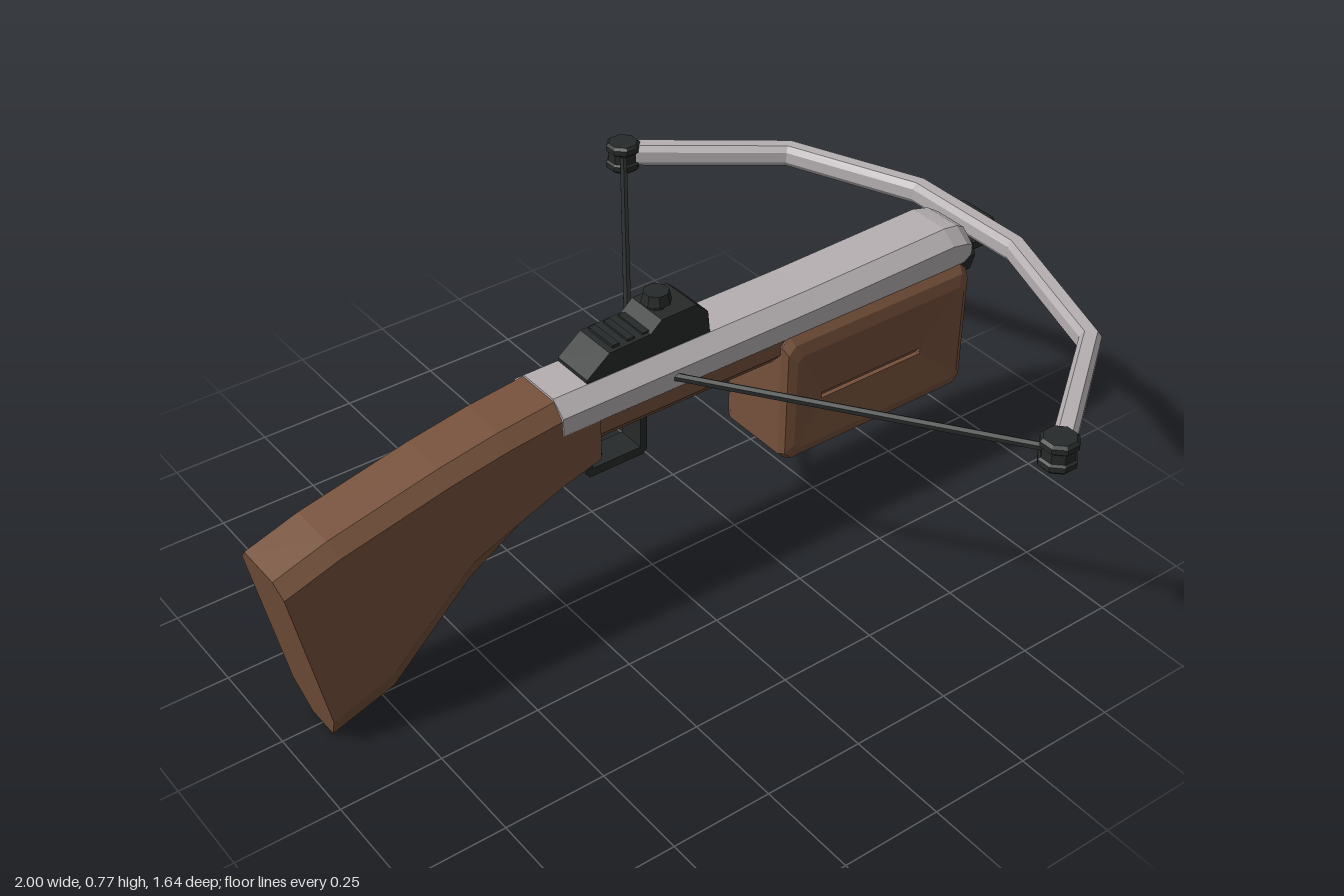
import * as THREE from 'three';

const wood = new THREE.MeshStandardMaterial({ color: 0x75503a });
wood.name = 'walnutBrown';
const steel = new THREE.MeshStandardMaterial({ color: 0xb5afb1 });
steel.name = 'lightSteel';
const black = new THREE.MeshStandardMaterial({ color: 0x272a2a });
black.name = 'blackMetal';
for (const m of [wood, steel, black]) m.flatShading = true;

// Faceted solid through closed rings of points, capped at both ends
function loft(rings) {
  const tris = [];
  const n = rings[0].length;
  for (let i = 0; i < rings.length - 1; i++) {
    for (let j = 0; j < n; j++) {
      const k = (j + 1) % n;
      const [a, b, c, d] = [rings[i][j], rings[i][k], rings[i + 1][k], rings[i + 1][j]];
      tris.push([a, b, c], [a, c, d]);
    }
  }
  const first = rings[0], last = rings[rings.length - 1];
  for (let j = 1; j < n - 1; j++) {
    tris.push([first[0], first[j + 1], first[j]], [last[0], last[j], last[j + 1]]);
  }
  // make the faces point outwards
  let volume = 0;
  for (const [a, b, c] of tris) volume += a.dot(b.clone().cross(c));
  const pos = [];
  for (const [a, b, c] of tris) {
    for (const p of volume > 0 ? [a, b, c] : [a, c, b]) pos.push(p.x, p.y, p.z);
  }
  const g = new THREE.BufferGeometry();
  g.setAttribute('position', new THREE.Float32BufferAttribute(pos, 3));
  g.computeVertexNormals();
  return g;
}

// Eight-sided section between a top and a bottom point, chamfered at both
function section(tx, ty, bx, by, w, topW, topC, botW, botC) {
  const top = new THREE.Vector3(tx, ty, 0), bot = new THREE.Vector3(bx, by, 0);
  const len = top.distanceTo(bot);
  const half = [[topW, 0], [w, topC], [w, len - botC], [botW, len]];
  const at = (z, d) => top.clone().lerp(bot, d / len).setZ(z);
  return [...half.map(([z, d]) => at(z, d)), ...half.reverse().map(([z, d]) => at(-z, d))];
}

// Rectangle with cut corners in the xy plane
function cutRect(x0, x1, y0, y1, c, z) {
  return [[x0 + c, y0], [x1 - c, y0], [x1, y0 + c], [x1, y1 - c],
    [x1 - c, y1], [x0 + c, y1], [x0, y1 - c], [x0, y0 + c]]
    .map(([x, y]) => new THREE.Vector3(x, y, z));
}

function extrude(shape, halfDepth) {
  return new THREE.ExtrudeGeometry(shape, { depth: halfDepth * 2, bevelEnabled: false })
    .translate(0, 0, -halfDepth);
}

const outline = (pts) => new THREE.Shape(pts.map(([x, y]) => new THREE.Vector2(x, y)));

export function createModel() {
  const model = new THREE.Group();
  model.name = 'crossbow';
  const add = (name, geometry, material) => {
    const mesh = new THREE.Mesh(geometry, material);
    mesh.name = name;
    model.add(mesh);
    return mesh;
  };
  const box = (name, x0, x1, y0, y1, hz, material) => add(name,
    new THREE.BoxGeometry(x1 - x0, y1 - y0, hz * 2).translate((x0 + x1) / 2, (y0 + y1) / 2, 0), material);

  // Shoulder stock, curving down to a slanted butt
  add('stock', loft([
    [-1, 0.5, -0.9, 0.005], [-0.87, 0.543, -0.74, 0.06], [-0.6, 0.605, -0.53, 0.265],
    [-0.45, 0.632, -0.39, 0.355], [-0.3, 0.65, -0.3, 0.393],
  ].map((s, i) => section(...s, 0.09, 0.06, 0.035, 0.045, i < 3 ? 0.08 : 0.05))), wood);
  add('grip', loft([[-0.3, 0.393], [-0.205, 0.42]]
    .map(([x, y]) => section(x, 0.585, x, y, 0.09, 0.088, 0.01, 0.045, 0.05))), wood);
  add('foreStock', loft([-0.22, 0.86]
    .map((x) => section(x, 0.585, x, 0.5, 0.086, 0.085, 0.01, 0.055, 0.035))), wood);

  // Magazine, its sides dished towards a narrow slot
  const side = [
    [0.42, 0.73, 0.372, 0.388, 0.002, 0.088],
    [0.42, 0.73, 0.372, 0.388, 0.002, 0.1],
    [0.33, 0.845, 0.268, 0.53, 0.015, 0.115],
    [0.308, 0.862, 0.242, 0.56, 0.02, 0.107],
    [0.3, 0.87, 0.235, 0.58, 0.022, 0.09],
  ];
  add('magazine', loft([
    ...side.map((s) => cutRect(...s)),
    ...side.slice().reverse().map(([a, b, c, d, e, z]) => cutRect(a, b, c, d, e, -z)),
  ]), wood);

  // Steel receiver with a sloping nose
  add('receiver', loft([
    [-0.305, 0.655, 0.575, 0.094, 0.056], [0.4, 0.659, 0.575, 0.094, 0.056],
    [0.82, 0.669, 0.575, 0.094, 0.056], [0.865, 0.66, 0.575, 0.092, 0.052],
    [0.895, 0.642, 0.578, 0.08, 0.045],
  ].map(([x, t, b, w, tw]) => section(x, t, x, b, w, tw, 0.032, w - 0.004, 0.006))), steel);

  // Bow limbs as one bent bar
  const half = [[0.948, 0.622, 0.17], [0.83, 0.603, 0.533], [0.49, 0.605, 0.785]];
  const path = [...half.map(([x, y, z]) => new THREE.Vector3(x, y, -z)).reverse(),
    ...half.map((p) => new THREE.Vector3(...p))];
  const barProfile = [[-0.015, -0.029], [0.015, -0.029], [0.026, -0.014], [0.026, 0.014],
    [0.015, 0.029], [-0.015, 0.029], [-0.026, 0.014], [-0.026, -0.014]];
  add('bow', loft(path.map((p, i) => {
    const a = path[Math.max(i - 1, 0)], b = path[Math.min(i + 1, path.length - 1)];
    const out = new THREE.Vector3(b.z - a.z, 0, a.x - b.x).normalize();
    return barProfile.map(([u, v]) => p.clone().addScaledVector(out, u).add(new THREE.Vector3(0, v, 0)));
  })), steel);

  // Limb tips and strings, mirrored
  for (const s of [-1, 1]) {
    const which = s > 0 ? 'front' : 'back';
    const tip = [[0, -0.037], [0.038, -0.037], [0.045, -0.03], [0.045, -0.017], [0.039, -0.012],
      [0.039, 0.012], [0.045, 0.017], [0.045, 0.03], [0.038, 0.037], [0, 0.037]];
    add(which + 'LimbTip', new THREE.LatheGeometry(tip.map(([x, y]) => new THREE.Vector2(x, y)), 8)
      .rotateY(Math.PI / 8).translate(0.485, 0.604, s * 0.78), black);
    const string = new THREE.LineCurve3(new THREE.Vector3(-0.012, 0.605, s * 0.075),
      new THREE.Vector3(0.475, 0.605, s * 0.765));
    add(which + 'String', new THREE.TubeGeometry(string, 1, 0.01, 6), black);
  }

  // Clamp holding the bow to the nose
  const cradle = [[-0.07, 0.61], [-0.083, 0.58], [-0.07, 0.535], [-0.04, 0.503],
    [0.04, 0.503], [0.07, 0.535], [0.083, 0.58], [0.07, 0.61]];
  add('cradle', loft([0.865, 0.905].map((x) => cradle.map(([z, y]) => new THREE.Vector3(x, y, z)))), black);
  box('clampBase', 0.89, 0.98, 0.572, 0.592, 0.055, black);
  add('clampPlate', loft([[0.97, 0], [0.985, 0], [0.998, 0.01]].map(([x, i]) =>
    cutRect(-0.06 + i, 0.06 - i, 0.57 + i, 0.64 - i, 0.01, 0)
      .map((p) => new THREE.Vector3(x, p.y, p.x)))), black);

  // Sight block with ribs and a knob
  add('sight', extrude(outline([[-0.215, 0.645], [-0.215, 0.665], [-0.155, 0.712], [-0.045, 0.716],
    [-0.015, 0.742], [0.08, 0.744], [0.112, 0.715], [0.12, 0.645]]), 0.055), black);
  for (const x of [-0.14, -0.1, -0.06]) box('sightRib', x, x + 0.018, 0.71, 0.72, 0.045, black);
  add('knobNeck', new THREE.CylinderGeometry(0.024, 0.024, 0.02, 8).translate(0.01, 0.748, 0), black);
  add('knob', new THREE.CylinderGeometry(0.03, 0.036, 0.026, 8)
    .rotateY(Math.PI / 8).translate(0.01, 0.767, 0), black);

  // Trigger and its guard
  const guard = outline([[-0.21, 0.51], [-0.21, 0.395], [-0.2, 0.383], [-0.053, 0.383],
    [-0.042, 0.395], [-0.042, 0.51]]);
  guard.holes.push(new THREE.Path([[-0.193, 0.5], [-0.06, 0.5], [-0.06, 0.405], [-0.193, 0.405]]
    .map(([x, y]) => new THREE.Vector2(x, y))));
  add('triggerGuard', extrude(guard, 0.036), black);
  add('trigger', extrude(outline([[-0.19, 0.51], [-0.185, 0.455], [-0.175, 0.415], [-0.15, 0.412],
    [-0.16, 0.45], [-0.145, 0.51]]), 0.014), black);

  return model;
}
